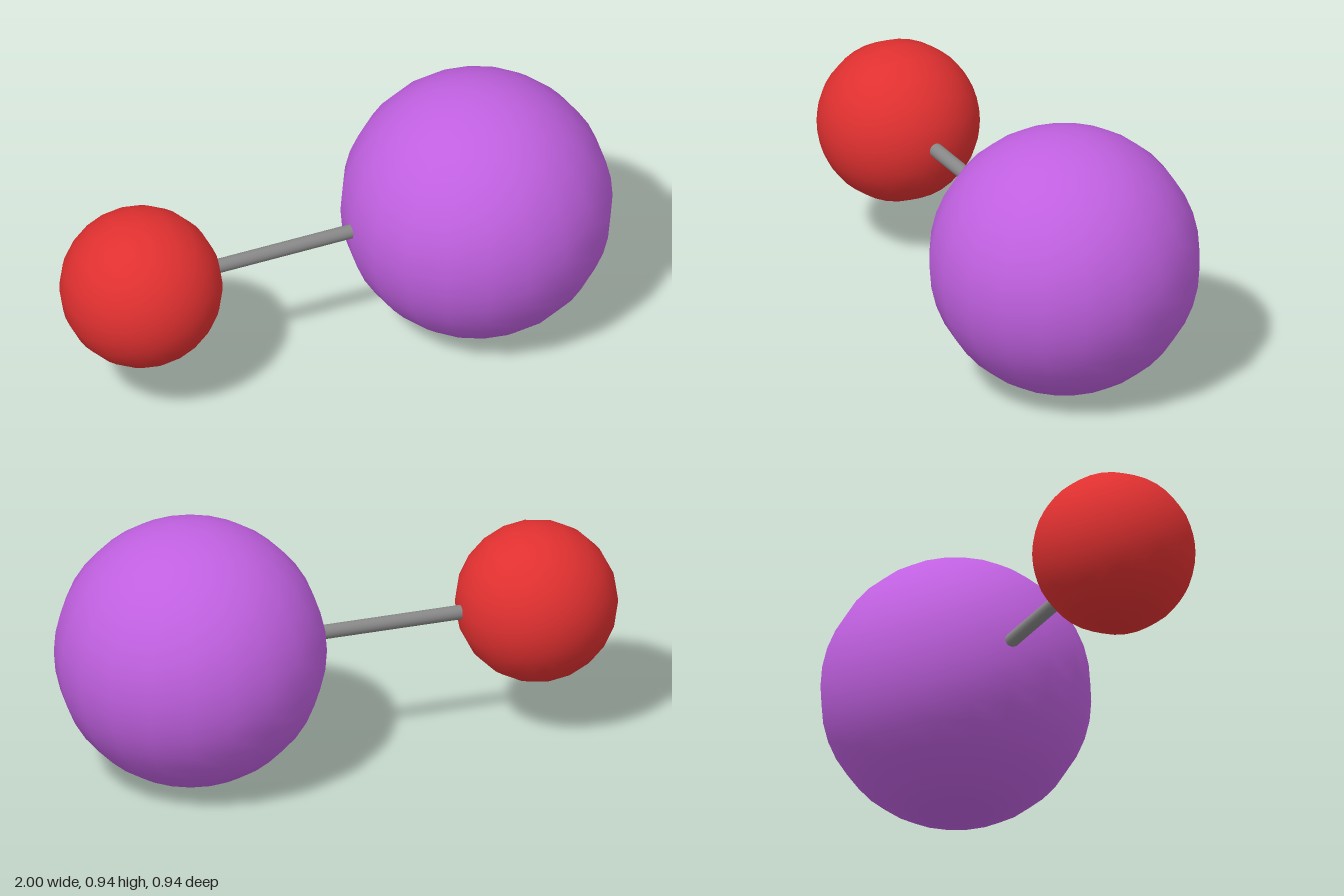
import * as THREE from 'three';

const UP = new THREE.Vector3(0, 1, 0);

function makePart(name, geometry, color) {
  const mesh = new THREE.Mesh(geometry, new THREE.MeshStandardMaterial({ color }));
  mesh.name = name;
  return mesh;
}

// A ball with 20 segments each way
function makeBall(name, radius, color, center) {
  const ball = makePart(name, new THREE.SphereGeometry(radius, 20, 20), color);
  ball.position.copy(center);
  return ball;
}

// A thin rod running between two points
function makeRod(name, radius, color, start, end) {
  const dir = end.clone().sub(start);
  const rod = makePart(name, new THREE.CylinderGeometry(radius, radius, dir.length(), 16), color);
  rod.position.copy(start).add(end).multiplyScalar(0.5);
  rod.quaternion.setFromUnitVectors(UP, dir.normalize());
  return rod;
}

export function createModel() {
  const model = new THREE.Group();
  model.name = 'ballAndStickModel';

  const largeCenter = new THREE.Vector3(0.53, 0.468, 0);
  const smallCenter = new THREE.Vector3(-0.72, 0.473, 0);

  // Balls; the small one has its poles along z
  const largeBall = makeBall('largeBall', 0.468, 0xc060e0, largeCenter);
  const smallBall = makeBall('smallBall', 0.28, 0xe03030, smallCenter);
  smallBall.rotation.x = Math.PI / 2;

  // Connecting rod, very slightly askew
  const rod = makeRod('connectingRod', 0.025, 0x888888,
    new THREE.Vector3(-0.72, 0.473, -0.002), new THREE.Vector3(0.53, 0.473, -0.014));

  model.add(largeBall, smallBall, rod);
  return model;
}
